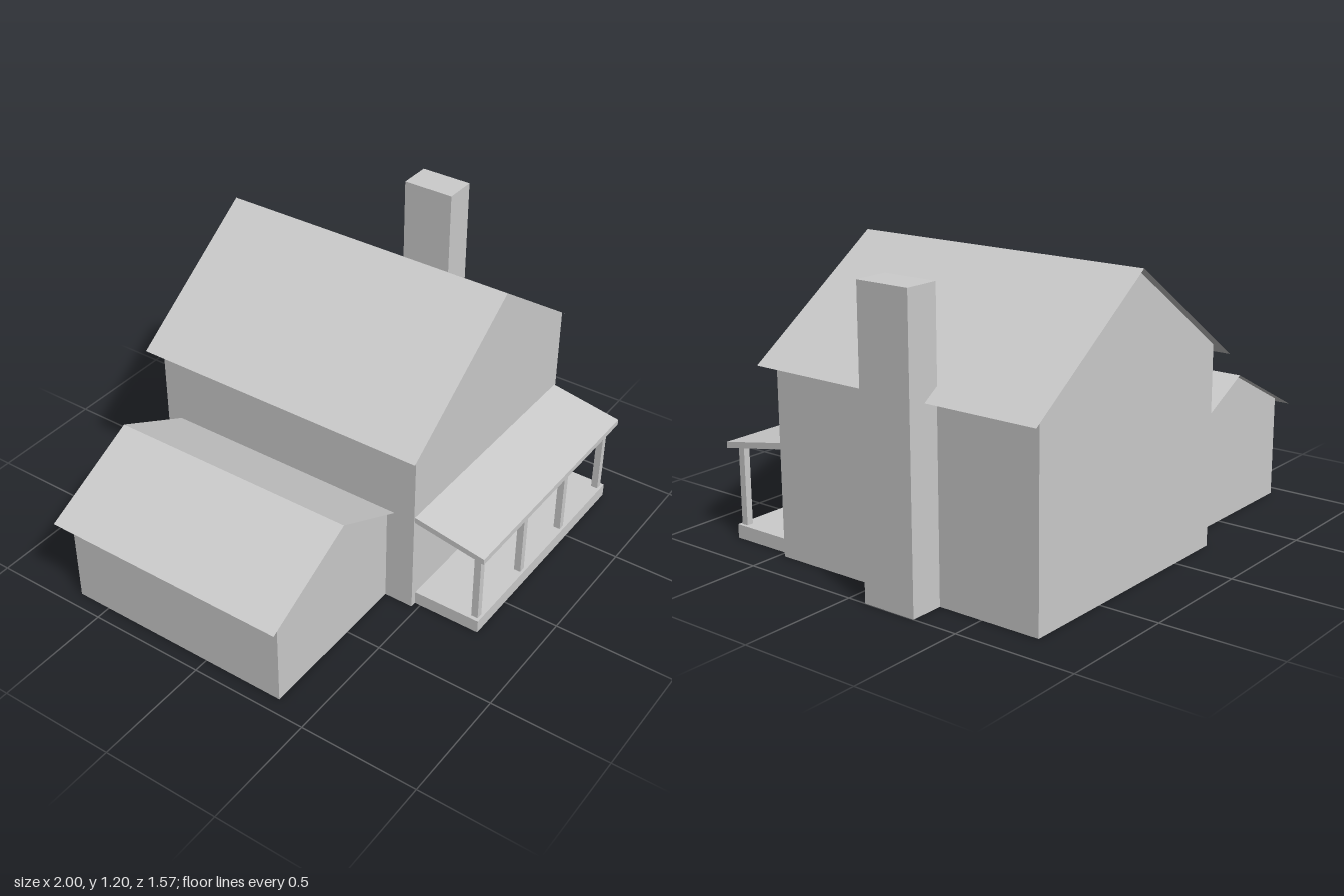
import * as THREE from 'three';

const grey = new THREE.MeshStandardMaterial({ color: 0xcccccc, side: THREE.DoubleSide });
grey.name = 'plainGrey';

function add(parent, name, geometry) {
  const mesh = new THREE.Mesh(geometry, grey);
  mesh.name = name;
  parent.add(mesh);
  return mesh;
}

// Box given by its limits; faces listed in drop (0 +x, 1 -x, 2 +y, 3 -y, 4 +z, 5 -z) are left open
function box([x0, x1], [y0, y1], [z0, z1], drop = []) {
  const g = new THREE.BoxGeometry(x1 - x0, y1 - y0, z1 - z0);
  g.translate((x0 + x1) / 2, (y0 + y1) / 2, (z0 + z1) / 2);
  g.setIndex([...g.index.array].filter((_, i) => !drop.includes(Math.floor(i / 6))));
  g.clearGroups();
  return g;
}

// Thin sheet from the line (xa, ya) to (xb, yb), running from z0 to z1; faces up when xa < xb
function sheet(xa, ya, xb, yb, z0, z1) {
  const g = new THREE.BufferGeometry();
  g.setAttribute('position', new THREE.Float32BufferAttribute(
    [xa, ya, z1, xb, yb, z1, xb, yb, z0, xa, ya, z0], 3));
  g.setIndex([0, 1, 2, 0, 2, 3]);
  g.computeVertexNormals();
  return g;
}

// Open-bottomed gabled building with a sheet roof that overhangs on all sides
function gabledBuilding(name, { cx, half, eave, ridge, z0, z1, overX, overZ }) {
  const group = new THREE.Group();
  group.name = name;
  const gable = new THREE.Shape([
    new THREE.Vector2(cx - half, 0), new THREE.Vector2(cx + half, 0),
    new THREE.Vector2(cx + half, eave), new THREE.Vector2(cx, ridge),
    new THREE.Vector2(cx - half, eave),
  ]);
  add(group, 'frontWall', new THREE.ShapeGeometry(gable).translate(0, 0, z1));
  add(group, 'backWall', new THREE.ShapeGeometry(gable).rotateY(Math.PI).translate(2 * cx, 0, z0));
  add(group, 'leftWall', sheet(cx + half, eave, cx + half, 0, z0, z1));
  add(group, 'rightWall', sheet(cx - half, 0, cx - half, eave, z0, z1));

  const reach = half + overX;
  const low = ridge - (ridge - eave) * reach / half;
  add(group, 'leftRoof', sheet(cx, ridge, cx + reach, low, z0 - overZ, z1 + overZ));
  add(group, 'rightRoof', sheet(cx - reach, low, cx, ridge, z0 - overZ, z1 + overZ));
  return group;
}

export function createModel() {
  const model = new THREE.Group();
  model.name = 'house';

  model.add(gabledBuilding('mainHouse', {
    cx: 0.312, half: 0.547, eave: 0.813, ridge: 1.195,
    z0: -0.75, z1: 0.475, overX: 0.065, overZ: 0.036,
  }));
  model.add(gabledBuilding('sideWing', {
    cx: -0.57, half: 0.367, eave: 0.423, ridge: 0.608,
    z0: -0.645, z1: 0.35, overX: 0.063, overZ: 0.035,
  }));

  // Chimney against the left wall, open at the bottom
  add(model, 'chimney', box([0.857, 1], [0, 1.18], [-0.31, -0.08], [3]));

  // Porch: hollow deck, four posts and a sloping roof slab
  const porch = new THREE.Group();
  porch.name = 'porch';
  model.add(porch);
  add(porch, 'deck', box([-0.21, 0.83], [0, 0.057], [0.475, 0.765], [3, 5]));
  for (const x of [-0.18, 0.148, 0.473, 0.803]) {
    add(porch, 'post', box([x - 0.014, x + 0.014], [0.057, 0.385], [0.725, 0.754]));
  }
  const slab = box([-0.23, 0.85], [0.375, 0.4], [0.44, 0.785]);
  const p = slab.attributes.position;
  for (let i = 0; i < p.count; i++) p.setY(i, p.getY(i) + (0.785 - p.getZ(i)) * 0.177);
  slab.computeVertexNormals();
  add(porch, 'porchRoof', slab);

  return model;
}
